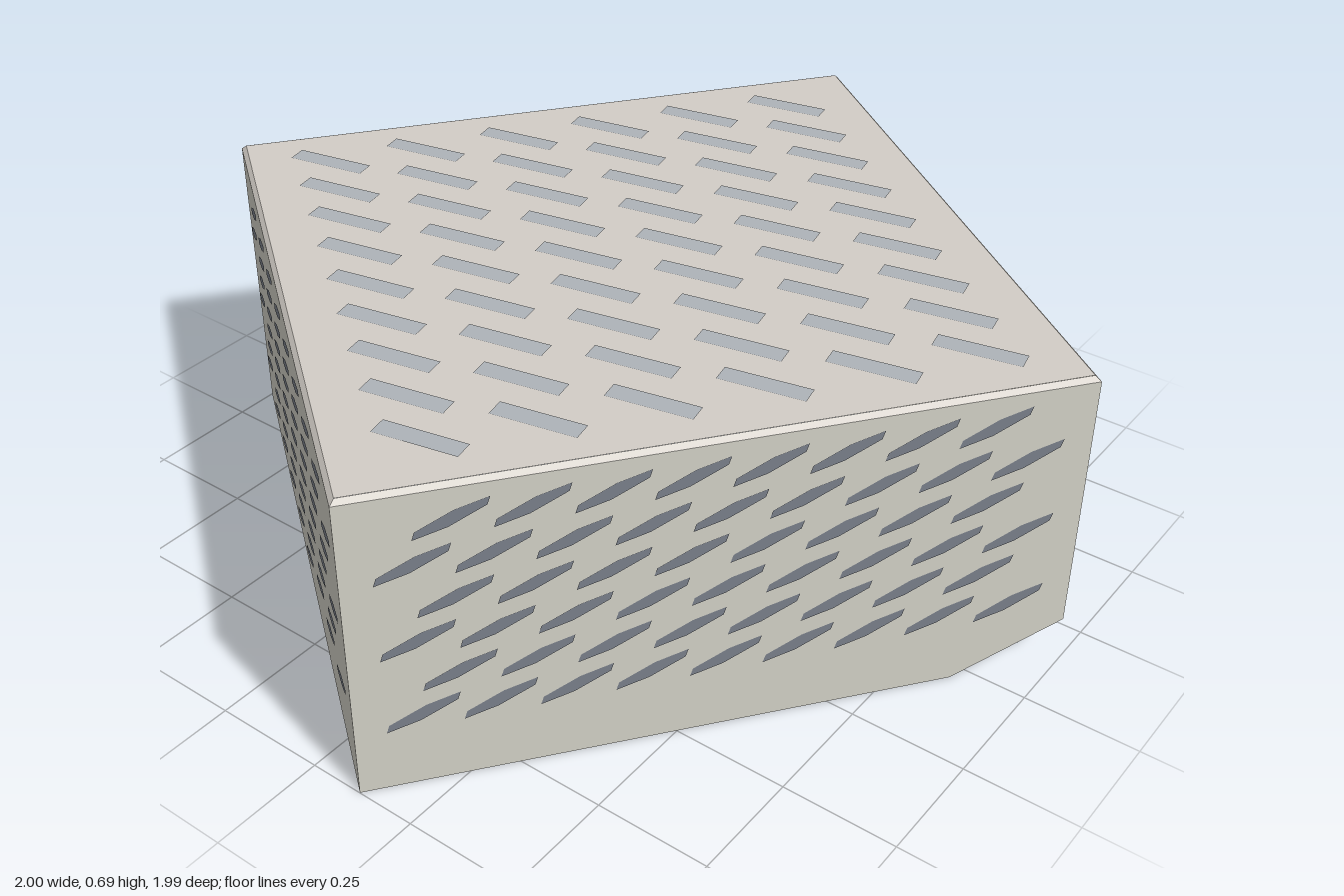
import * as THREE from 'three';

const W = 1.447, D = 1.40, H = 0.69, BEVEL = 0.01, INSET = 0.06;

const mat = (color, side = THREE.FrontSide) =>
  new THREE.MeshStandardMaterial({ color, side, flatShading: true });
const wallMat = mat(0xd3d1c7, THREE.DoubleSide);
const topMat = mat(0xd2cdc6, THREE.DoubleSide);
const slotMat = mat(0x7a808a);
const topSlotMat = mat(0xaeb3b8);
const blueMat = mat(0x627a92);
const coneMat = new THREE.MeshStandardMaterial({ color: 0xd3d1c7, side: THREE.DoubleSide });

// Countersunk opening, in the coordinates of the wall that holds it
const SINK = { x: -0.285, y: 0.265, r: 0.18, depth: 0.057, rx: 0.082, ry: 0.046 };

// Walls seen from outside; a corner cut is [height at the corner, length along the wall]
const walls = [
  { name: 'frontWall', w: W, out: D / 2, turn: 0, left: null, right: [0.10, 0.24], rows: 6 },
  { name: 'openingWall', w: D, out: W / 2, turn: Math.PI / 2, left: [0.10, 0.28], right: [0.21, 0.87], rows: 6, sink: true },
  { name: 'rearWall', w: W, out: D / 2, turn: Math.PI, left: [0.21, 0.63], right: null, rows: 7 },
  { name: 'plainWall', w: D, out: W / 2, turn: -Math.PI / 2, left: null, right: null, rows: 7, lastRow: 5 },
];

function add(parent, name, geometry, material) {
  const mesh = new THREE.Mesh(geometry, material);
  mesh.name = name;
  parent.add(mesh);
  return mesh;
}

// Flat convex panel through corner points, turned to face a given direction
function panel(points, facing) {
  const p = points.map((a) => new THREE.Vector3(...a));
  const n = p[1].clone().sub(p[0]).cross(p[2].clone().sub(p[0]));
  if (n.dot(new THREE.Vector3(...facing)) < 0) p.reverse();
  const tris = [];
  for (let i = 1; i < p.length - 1; i++) tris.push(p[0], p[i], p[i + 1]);
  const g = new THREE.BufferGeometry().setFromPoints(tris);
  g.computeVertexNormals();
  return g;
}

// Height of the wall's lower edge at x
function lowerEdge(wall, x) {
  const at = (cut, s) => (cut ? Math.max(0, cut[0] * (1 - s / cut[1])) : 0);
  return Math.max(at(wall.left, x + wall.w / 2), at(wall.right, wall.w / 2 - x));
}

// Slanted hexagon: a regular one sheared sideways
function slantedHexagon() {
  const r = 0.035, pts = [];
  for (let i = 0; i < 6; i++) {
    const a = Math.PI / 2 + (i * Math.PI) / 3;
    const y = r * Math.sin(a);
    pts.push(new THREE.Vector2(r * Math.cos(a) + 2.05 * y, y));
  }
  return new THREE.ShapeGeometry(new THREE.Shape(pts));
}

function addSlots(group, wall) {
  const hex = slantedHexagon();
  const pitch = wall.w / 9.8;
  for (let row = 0; row < wall.rows; row++) {
    const count = row % 2 ? 9 : 8;
    const y = 0.615 - row * 0.088;
    for (let i = 0; i < count; i++) {
      const x = (i - (count - 1) / 2) * pitch;
      const edge = Math.max(lowerEdge(wall, x - 0.074), lowerEdge(wall, x + 0.03));
      if (y - 0.035 < edge + 0.005) continue;
      if (wall.sink && y < 0.47 && x > -0.53 && x < 0.1) continue;
      if (row === 6 && wall.lastRow && i >= wall.lastRow) continue;
      add(group, 'ventSlot', hex, slotMat).position.set(x, y, 0.002);
    }
  }
}

// Cone from a round rim to a small oval, closed by a blue plate
function addCountersink(group) {
  const g = new THREE.CylinderGeometry(1, 1, SINK.depth, 48, 1, true);
  g.rotateX(Math.PI / 2);
  const p = g.attributes.position;
  for (let i = 0; i < p.count; i++) {
    const rim = p.getZ(i) > 0;
    p.setX(i, p.getX(i) * (rim ? SINK.r : SINK.rx));
    p.setY(i, p.getY(i) * (rim ? SINK.r : SINK.ry));
  }
  g.computeVertexNormals();
  add(group, 'countersink', g, coneMat).position.set(SINK.x, SINK.y, -SINK.depth / 2);
  const plate = add(group, 'openingPlate', new THREE.CircleGeometry(1, 40), blueMat);
  plate.scale.set(SINK.rx, SINK.ry, 1);
  plate.position.set(SINK.x, SINK.y, -SINK.depth);
}

// Shelf under a corner cut and the recessed blue panel behind it
function addCornerCut(group, wall, side, [h, len]) {
  const c = side * wall.w / 2, e = c - side * len, q = c - side * INSET;
  const inner = h - 0.018;
  add(group, 'cutShelf',
    panel([[c, h, 0], [e, 0, 0], [e, 0, -INSET], [q, inner, -INSET]], [0, -1, 0]), wallMat);
  add(group, 'recessedPanel',
    panel([[q, inner, -INSET], [e, 0, -INSET], [q, 0, -INSET]], [0, 0, 1]), blueMat);
}

function buildWall(wall) {
  const group = new THREE.Group();
  group.name = wall.name;
  const { w, left, right } = wall, top = H - BEVEL;
  const pts = [[-w / 2, left ? left[0] : 0]];
  if (left) pts.push([-w / 2 + left[1], 0]);
  if (right) pts.push([w / 2 - right[1], 0]);
  pts.push([w / 2, right ? right[0] : 0], [w / 2, top], [-w / 2, top]);
  const shape = new THREE.Shape(pts.map((a) => new THREE.Vector2(...a)));
  if (wall.sink) {
    shape.holes.push(new THREE.Path().absarc(SINK.x, SINK.y, SINK.r, 0, Math.PI * 2, true));
    addCountersink(group);
  }
  add(group, 'wallSheet', new THREE.ShapeGeometry(shape, 24), wallMat);
  addSlots(group, wall);
  if (left) addCornerCut(group, wall, -1, left);
  if (right) addCornerCut(group, wall, 1, right);
  group.rotation.y = wall.turn;
  group.position.set(Math.sin(wall.turn) * wall.out, 0, Math.cos(wall.turn) * wall.out);
  return group;
}

// Top plate with a narrow bevelled rim and a grid of slanting slots
function buildTop() {
  const group = new THREE.Group();
  group.name = 'top';
  const plate = new THREE.PlaneGeometry(W - 2 * BEVEL, D - 2 * BEVEL).rotateX(-Math.PI / 2);
  add(group, 'topPlate', plate, topMat).position.y = H;
  const bevel = new THREE.CylinderGeometry(
    Math.SQRT1_2 * (1 - 2 * BEVEL / W), Math.SQRT1_2, BEVEL, 4, 1, true);
  bevel.rotateY(Math.PI / 4).scale(W, 1, D);
  add(group, 'topBevel', bevel, topMat).position.y = H - BEVEL / 2;

  const slot = new THREE.PlaneGeometry(0.043, 0.18).rotateX(-Math.PI / 2).rotateY(0.857);
  for (let i = 0; i < 6; i++) {
    for (let j = 0; j < 9; j++) {
      add(group, 'topSlot', slot, topSlotMat)
        .position.set((i - 2.5) * 0.216, H + 0.002, (j - 4) * 0.139);
    }
  }
  return group;
}

export function createModel() {
  const model = new THREE.Group();
  model.name = 'ventedCover';
  const body = new THREE.Group();
  body.name = 'cover';
  walls.forEach((wall) => body.add(buildWall(wall)));
  body.add(buildTop());
  body.rotation.y = -THREE.MathUtils.degToRad(37.2);
  model.add(body);
  return model;
}
